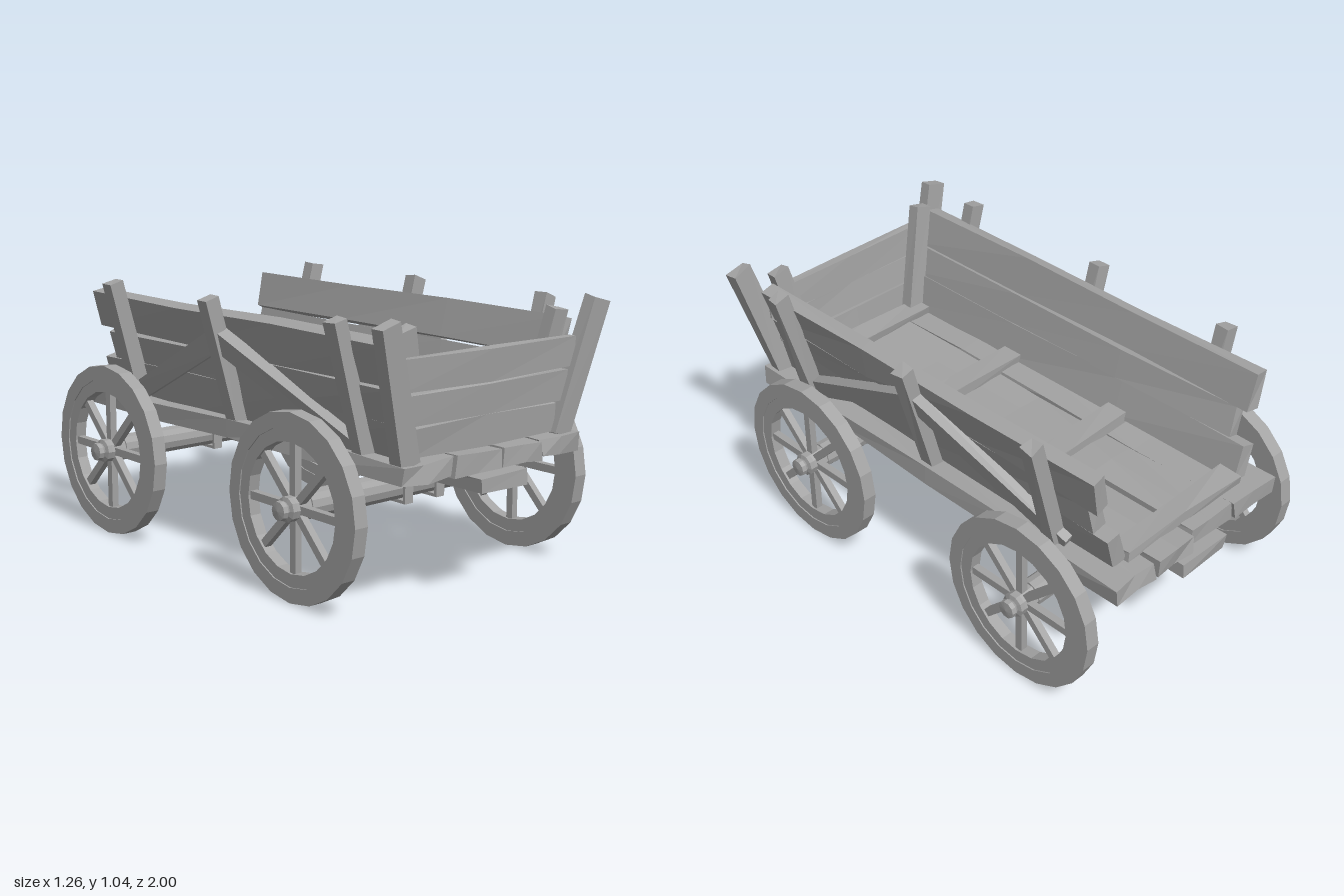
import * as THREE from 'three';

const wood = new THREE.MeshStandardMaterial({ color: 0xa3a3a3, flatShading: true });
wood.name = 'grey wood';

// Small seeded generator for the hewn look of the planks
let seed = 11;
const rand = () => {
  seed = (seed * 16807) % 2147483647;
  return seed / 2147483647 - 0.5;
};

const add = (parent, name, geometry, x = 0, y = 0, z = 0) => {
  const mesh = new THREE.Mesh(geometry, wood);
  mesh.name = name;
  mesh.position.set(x, y, z);
  parent.add(mesh);
  return mesh;
};

// Box whose corners are shifted a little; corners that coincide move together
function hewn(w, h, d, jitter = 0.01, sx = 1, sz = 1) {
  const g = new THREE.BoxGeometry(w, h, d, sx, 1, sz);
  const p = g.attributes.position, moved = {};
  for (let i = 0; i < p.count; i++) {
    const key = [p.getX(i), p.getY(i), p.getZ(i)].map(v => Math.round(v * 1000)).join();
    const m = moved[key] ??= [rand() * jitter, rand() * jitter, rand() * jitter];
    p.setXYZ(i, p.getX(i) + m[0], p.getY(i) + m[1], p.getZ(i) + m[2]);
  }
  g.computeVertexNormals();
  return g;
}

// Square bar between two points
function bar(parent, name, a, b, w, d) {
  const from = new THREE.Vector3(...a), to = new THREE.Vector3(...b);
  const dir = to.clone().sub(from);
  const mesh = add(parent, name, hewn(w, dir.length(), d, 0.008));
  mesh.position.copy(from).add(to).multiplyScalar(0.5);
  mesh.quaternion.setFromUnitVectors(new THREE.Vector3(0, 1, 0), dir.normalize());
  return mesh;
}

// Ring with a rectangular section, axle along x
function ring(inner, outer, width) {
  const h = width / 2;
  const section = [[inner, -h], [outer, -h], [outer, h], [inner, h], [inner, -h]];
  return new THREE.LatheGeometry(section.map(c => new THREE.Vector2(...c)), 20).rotateZ(-Math.PI / 2);
}

function makeWheel(side) {
  const wheel = new THREE.Group();
  wheel.name = 'wheel';
  add(wheel, 'tyre', ring(0.283, 0.34, 0.056));
  add(wheel, 'rim', ring(0.235, 0.285, 0.046));
  for (let i = 0; i < 8; i++) {
    const spoke = add(wheel, 'spoke', new THREE.BoxGeometry(0.028, 0.21, 0.03).translate(0, 0.14, 0));
    spoke.rotation.x = i * Math.PI / 4;
  }
  const profile = [[0, -0.05], [0.04, -0.05], [0.05, -0.035], [0.045, 0.025], [0.046, 0.045],
    [0.03, 0.05], [0.036, 0.06], [0.034, 0.078], [0, 0.082]];
  const hub = new THREE.LatheGeometry(profile.map(c => new THREE.Vector2(...c)), 10);
  add(wheel, 'hub', hub.rotateZ(-side * Math.PI / 2));
  return wheel;
}

// Side wall: boards, posts and braces in a frame that leans outwards
function makeSide(s) {
  const wall = new THREE.Group();
  wall.name = s > 0 ? 'leftWall' : 'rightWall';
  wall.position.set(s * 0.30, 0.54, 0);
  wall.rotation.z = -s * Math.atan(0.27);
  const boards = [[0.0, 0.15, 0.875, -0.88], [0.148, 0.27, 0.87, -0.81], [0.278, 0.43, 0.87, -0.86]];
  for (const [y0, y1, z0, z1] of boards)
    add(wall, 'sideBoard', hewn(0.058, y1 - y0, z0 - z1, 0.014, 1, 3), s * 0.03, (y0 + y1) / 2, (z0 + z1) / 2);
  for (const z of [0.70, 0, -0.63])
    add(wall, 'sidePost', hewn(0.06, 0.51, 0.055, 0.01), s * 0.088, 0.25, z);
  for (const e of [-1, 1])
    bar(wall, 'brace', [s * 0.082, 0.345, e * 0.01], [s * 0.075, 0.02, e * 0.68], 0.045, 0.078);
  return wall;
}

export function createModel() {
  const cart = new THREE.Group();
  cart.name = 'woodenCart';

  // Running gear
  for (const z of [0.53, -0.62]) {
    add(cart, 'axle', new THREE.CylinderGeometry(0.052, 0.052, 1.02, 12).rotateZ(Math.PI / 2), 0, 0.342, z);
    for (const s of [-1, 1]) cart.add(makeWheel(s)), cart.children.at(-1).position.set(s * 0.547, 0.34, z);
    for (const x of [-0.07, 0.088]) {
      add(cart, 'axleStrap', new THREE.BoxGeometry(0.04, 0.012, 0.13), x, 0.289, z);
      for (const e of [-1, 1])
        add(cart, 'strapArm', new THREE.BoxGeometry(0.04, 0.17, 0.012), x, 0.37, z + e * 0.059);
    }
    for (const e of [-1, 1])
      add(cart, 'bolster', new THREE.BoxGeometry(0.275, 0.08, 0.045), 0.007, 0.425, z + e * 0.145);
  }
  add(cart, 'centreBeam', hewn(0.235, 0.058, 1.99, 0.01, 1, 3), 0, 0.433, 0);

  // Floor planks: left edge, right edge, front end, back end
  const planks = [[-0.43, -0.205, 0.94, -0.965], [-0.2, 0.03, 0.95, -0.95],
    [0.042, 0.232, 0.955, -0.975], [0.245, 0.44, 0.94, -0.965]];
  for (const [a, b, f, r] of planks)
    add(cart, 'floorPlank', hewn(b - a, 0.07, f - r, 0.018, 2, 4), (a + b) / 2, 0.503, (f + r) / 2);
  for (const z of [-0.855, -0.305, 0.27, 0.81])
    add(cart, 'floorBatten', hewn(0.62, 0.04, 0.09, 0.012, 2), 0, 0.555, z);

  // Front wall
  const rows = [[0.545, 0.652, 0.35], [0.66, 0.768, 0.39], [0.776, 0.89, 0.42]];
  for (const [y0, y1, half] of rows) {
    const y = (y0 + y1) / 2;
    const board = add(cart, 'frontBoard', hewn(half * 2, y1 - y0, 0.035, 0.01, 2), 0, y, 0.88 + (y - 0.54) * 0.1);
    board.rotation.x = 0.1;
  }
  for (const s of [-1, 1]) {
    cart.add(makeSide(s));
    bar(cart, 'frontPost', [s * 0.375, 0.53, 0.895], [s * 0.512, 1.02, 0.945], 0.085, 0.05);
    bar(cart, 'innerPost', [s * 0.275, 0.54, 0.835], [s * 0.375, 0.985, 0.88], 0.075, 0.05);
  }
  return cart;
}
